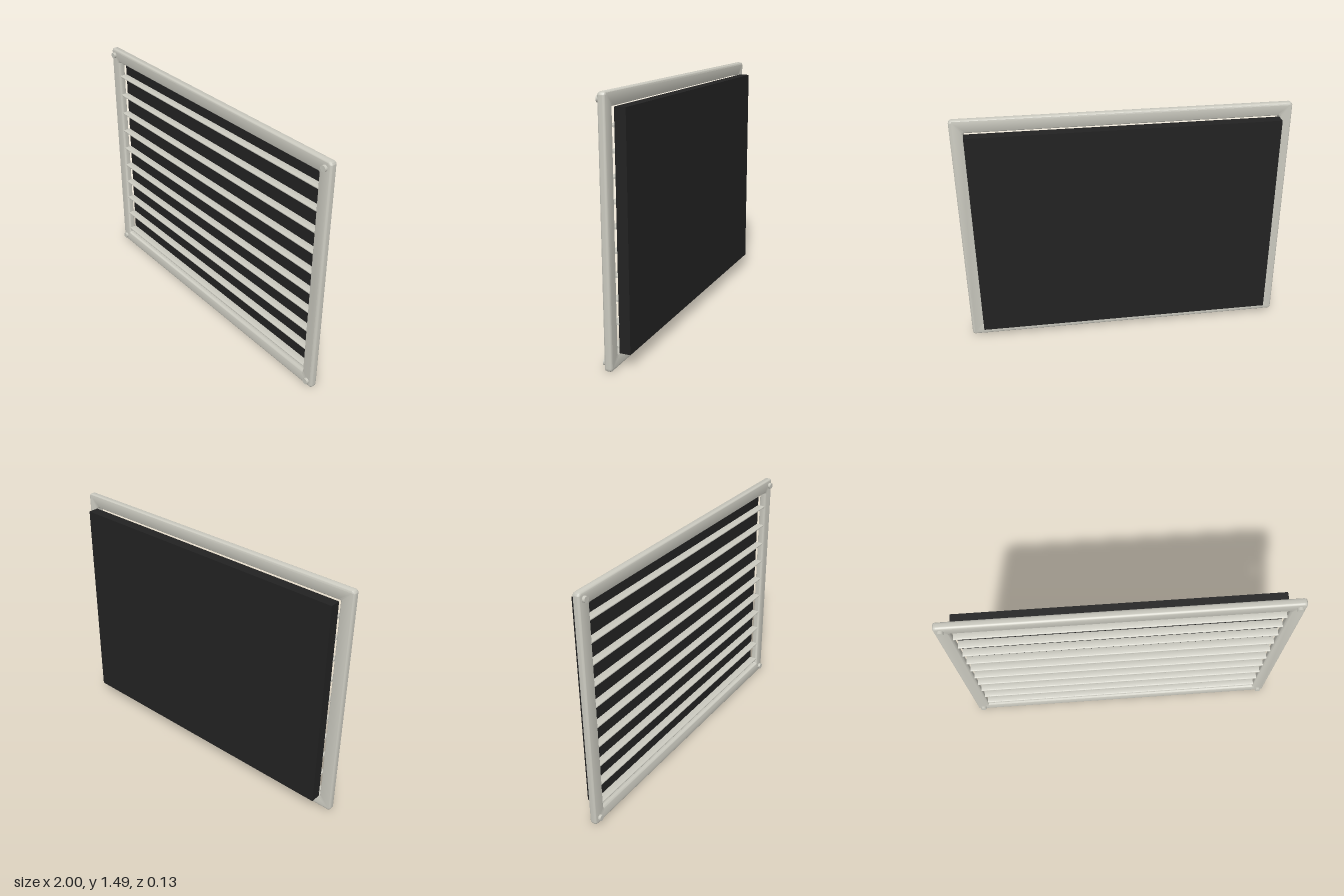
import * as THREE from 'three';
import { toCreasedNormals } from 'three/addons/utils/BufferGeometryUtils.js';

const W = 2, H = 1.485, BAR = 0.08;

function rect(target, x, y, w, h, r) {
  target.moveTo(x + r, y);
  target.lineTo(x + w - r, y);
  target.absarc(x + w - r, y + r, r, -Math.PI / 2, 0);
  target.absarc(x + w - r, y + h - r, r, 0, Math.PI / 2);
  target.absarc(x + r, y + h - r, r, Math.PI / 2, Math.PI);
  target.absarc(x + r, y + r, r, Math.PI, Math.PI * 1.5);
  return target;
}

export function createModel() {
  const group = new THREE.Group();
  const paint = new THREE.MeshStandardMaterial({ color: 0xc9c8be });
  paint.name = 'off-white paint';
  const dark = new THREE.MeshStandardMaterial({ color: 0x222222 });
  dark.name = 'matte black';

  function add(name, geometry, material, x, y, z) {
    const mesh = new THREE.Mesh(geometry, material);
    mesh.name = name;
    mesh.position.set(x, y, z);
    group.add(mesh);
    return mesh;
  }

  // Frame with softly rounded edges, z from 0.006 to 0.052
  const bevel = 0.015;
  const outline = rect(new THREE.Shape(), -W / 2, 0, W, H, 0.02);
  outline.holes.push(rect(new THREE.Path(), -W / 2 + BAR, BAR, W - 2 * BAR, H - 2 * BAR, 0.006));
  const frame = new THREE.ExtrudeGeometry(outline, {
    depth: 0.046 - 2 * bevel, bevelThickness: bevel, bevelSize: bevel,
    bevelOffset: -bevel, bevelSegments: 5, curveSegments: 5,
  });
  add('frame', toCreasedNormals(frame, 0.6), paint, 0, 0, 0.006 + bevel);

  // Duct box behind the frame
  add('ductBox', new THREE.BoxGeometry(1.84, 1.322, 0.065), dark, 0, 0.744, -0.0335);

  // Horizontal slats with rounded front and back edges
  const slatLength = 1.84, slatDepth = 0.052, slatThickness = 0.011;
  const section = rect(new THREE.Shape(), -slatDepth / 2, -slatThickness / 2, slatDepth, slatThickness, 0.005);
  const slat = toCreasedNormals(new THREE.ExtrudeGeometry(section, {
    depth: slatLength, bevelEnabled: false, curveSegments: 4,
  }), 0.6);
  slat.translate(0, 0, -slatLength / 2);
  slat.rotateY(Math.PI / 2);
  for (let i = 0; i < 10; i++) add('slat', slat, paint, 0, 0.116 + i * 0.1323, 0.02);

  // Corner screws
  const screw = new THREE.CylinderGeometry(0.018, 0.018, 0.03, 24);
  screw.rotateX(Math.PI / 2);
  for (const x of [-0.962, 0.962]) {
    for (const y of [0.04, H - 0.04]) add('screw', screw, paint, x, y, 0.053);
  }
  return group;
}
